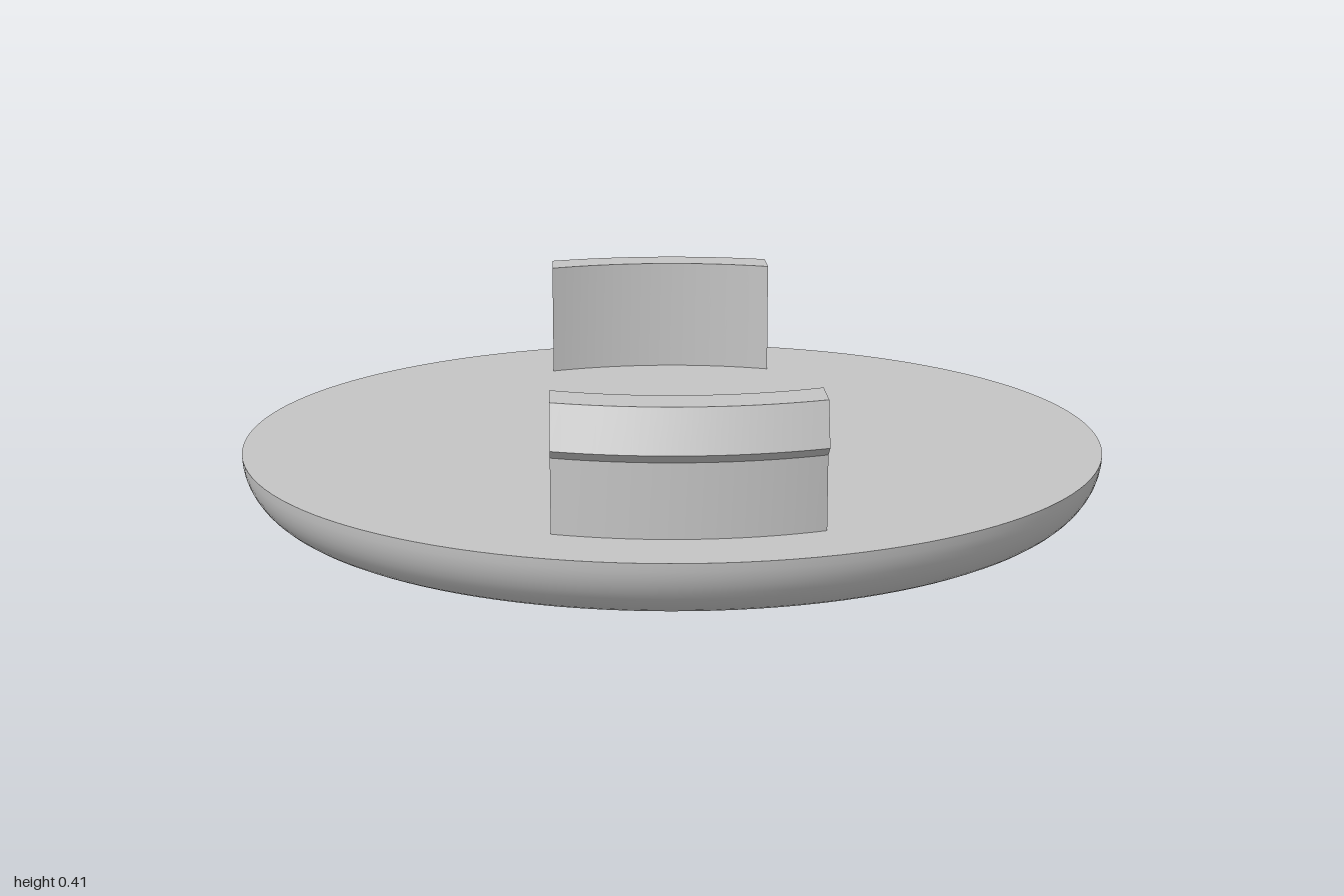
import * as THREE from 'three';
import { toCreasedNormals } from 'three/addons/utils/BufferGeometryUtils.js';

const DISC_HEIGHT = 0.137;
const CLIP_HALF_WIDTH = 0.282;

// Round plate with a rounded lower rim and a sharp upper edge
function discGeometry() {
  const profile = [new THREE.Vector2(0, 0)];
  const steps = 12;
  for (let i = 0; i <= steps; i++) {
    const a = (i / steps) * Math.PI / 2;
    profile.push(new THREE.Vector2(
      1 - DISC_HEIGHT + DISC_HEIGHT * Math.sin(a),
      DISC_HEIGHT * (1 - Math.cos(a))
    ));
  }
  profile.push(new THREE.Vector2(0, DISC_HEIGHT));
  return toCreasedNormals(new THREE.LatheGeometry(profile, 128), 0.4);
}

// Curved wall with an outward snap ridge: a radial profile swept along x,
// then bent so each profile point follows a circle around the disc centre
function clipGeometry() {
  const profile = [
    [0.74, DISC_HEIGHT - 0.005], [0.84, DISC_HEIGHT - 0.005], [0.84, 0.297],
    [0.873, 0.32], [0.84, 0.412], [0.74, 0.412],
  ].map(([r, y]) => new THREE.Vector2(r, y));
  const geometry = new THREE.ExtrudeGeometry(new THREE.Shape(profile), {
    depth: CLIP_HALF_WIDTH * 2, steps: 24, bevelEnabled: false,
  });
  geometry.rotateY(-Math.PI / 2).translate(CLIP_HALF_WIDTH, 0, 0);
  const p = geometry.attributes.position;
  for (let i = 0; i < p.count; i++) {
    const x = p.getX(i), r = p.getZ(i);
    p.setZ(i, Math.sqrt(r * r - x * x));
  }
  return toCreasedNormals(geometry, 0.4);
}

export function createModel() {
  const group = new THREE.Group();
  group.name = 'snapInCap';
  const plastic = new THREE.MeshStandardMaterial({ color: 0xc4c4c4 });
  plastic.name = 'light grey plastic';

  const disc = new THREE.Mesh(discGeometry(), plastic);
  disc.name = 'disc';
  group.add(disc);

  // Matching clips at the front and back
  const clip = clipGeometry();
  for (const [name, angle] of [['frontClip', 0], ['backClip', Math.PI]]) {
    const mesh = new THREE.Mesh(clip, plastic);
    mesh.name = name;
    mesh.rotation.y = angle;
    group.add(mesh);
  }
  return group;
}
